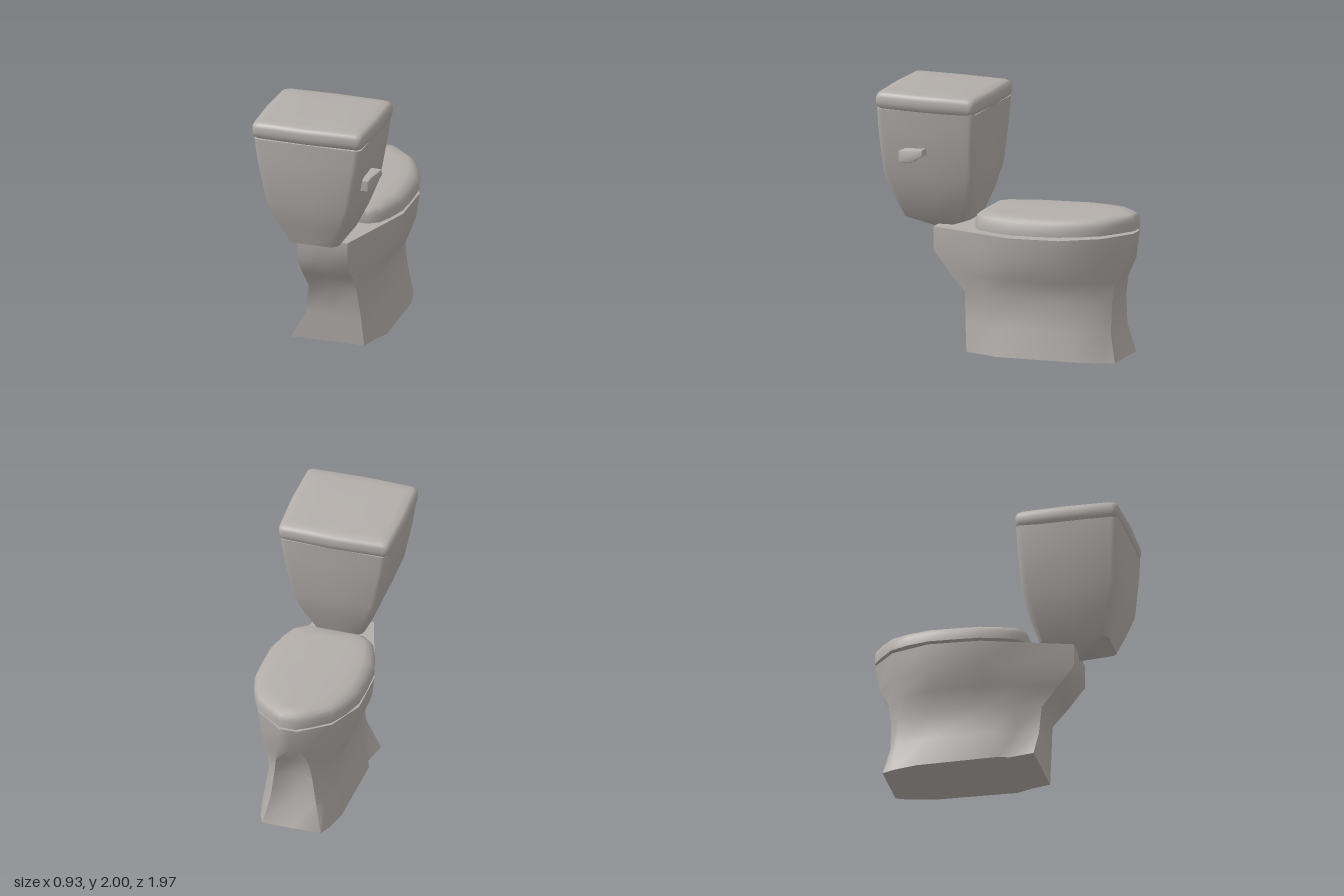
import * as THREE from 'three';
import { toCreasedNormals } from 'three/addons/utils/BufferGeometryUtils.js';

const ceramic = new THREE.MeshStandardMaterial({ color: 0xb3aeaa });
ceramic.name = 'warm grey ceramic';

// Skins a stack of rings (bottom to top, each turning from +z towards +x) and closes both ends.
function loft(rings, crease = 0.7, bottomTip = null) {
  const n = rings[0].length;
  const points = rings.flat();
  const index = [];
  for (let r = 0; r < rings.length - 1; r++) {
    for (let i = 0; i < n; i++) {
      const a = r * n + i, b = r * n + (i + 1) % n;
      index.push(a, b, b + n, a, b + n, a + n);
    }
  }
  const centre = ring => [0, 1, 2].map(k => ring.reduce((s, p) => s + p[k], 0) / n);
  const low = points.push(bottomTip || centre(rings[0])) - 1;
  const high = points.push(centre(rings[rings.length - 1])) - 1;
  const top = (rings.length - 1) * n;
  for (let i = 0; i < n; i++) {
    const j = (i + 1) % n;
    index.push(low, j, i, high, top + i, top + j);
  }
  const g = new THREE.BufferGeometry();
  g.setAttribute('position', new THREE.Float32BufferAttribute(points.flat(), 3));
  g.setIndex(index);
  return toCreasedNormals(g, crease);
}

// Mirrors a half outline of [x, z] points, running from the tank end to the tip.
function mirrorRing(half, yAt, cx = -0.013) {
  const other = half.slice(1, -1).reverse().map(([x, z]) => [-x, z]);
  return [...half, ...other].map(([x, z]) => [x + cx, yAt(z), z]);
}

// Rectangle with rounded corners and slightly bowed sides.
function boxRing(y, x0, x1, z0, z1, radius, bow = 0, tilt = 0) {
  const ring = [];
  const cx = (x0 + x1) / 2, cz = (z0 + z1) / 2;
  const hx = (x1 - x0) / 2, hz = (z1 - z0) / 2;
  const corners = [[1, 1], [1, -1], [-1, -1], [-1, 1]];
  corners.forEach(([sx, sz], c) => {
    for (let k = 0; k <= 3; k++) {
      const a = c * Math.PI / 2 + k * Math.PI / 6;
      const x = cx + sx * (hx - radius - bow) + radius * Math.sin(a);
      const z = cz + sz * (hz - radius - bow) + radius * Math.cos(a);
      ring.push([x, y + tilt * (z - cz), z]);
    }
    // middle of the side that follows this corner
    const a = (c + 1) * Math.PI / 2;
    const z = cz + hz * Math.cos(a);
    ring.push([cx + hx * Math.sin(a), y + tilt * (z - cz), z]);
  });
  return ring;
}

function part(name, geometry) {
  const mesh = new THREE.Mesh(geometry, ceramic);
  mesh.name = name;
  return mesh;
}

function createBowl() {
  const levels = [
    [0, [[0, .3], [.24, .3], [.28, .15], [.33, .03], [.315, -.61], [.27, -.8], [.23, -.89], [0, -.89]]],
    [.22, [[0, .315], [.22, .315], [.26, .14], [.3, -.03], [.29, -.55], [.23, -.78], [.18, -.84], [0, -.79]]],
    [.45, [[0, .33], [.19, .33], [.245, .14], [.265, -.08], [.265, -.5], [.21, -.77], [.15, -.84], [0, -.78]]],
    [.6, [[0, .455], [.2, .455], [.29, .17], [.33, -.08], [.33, -.5], [.24, -.77], [.13, -.865], [0, -.83]]],
    [.76, [[0, .58], [.2, .58], [.31, .17], [.39, -.1], [.39, -.5], [.27, -.79], [.09, -.945], [0, -.94]]],
    [.94, [[0, .58], [.2, .58], [.33, .17], [.415, -.1], [.415, -.5], [.29, -.8], [.07, -.98], [0, -.98]]],
  ];
  const rings = levels.map(([y, half]) =>
    mirrorRing(half, z => y > .9 ? y + .035 * Math.max(0, -z) ** 2 : y));
  // the foot flares out on one rear corner
  rings[0][13][0] = -.355;
  rings[0][12] = [-.315, 0, .1];
  return part('bowl', loft(rings, 0.85));
}

function createSeatLid() {
  const outline = [[0, .225], [.24, .225], [.32, .17], [.37, .05], [.412, -.1], [.418, -.3],
    [.412, -.5], [.36, -.67], [.29, -.81], [.17, -.91], [.06, -.985], [0, -.985]];
  // height, sideways scale, lengthwise scale
  const levels = [[.972, 1, 1], [1.035, 1, 1], [1.075, .94, .985], [1.096, .8, .95], [1.1, .6, .8]];
  const rings = levels.map(([y, sx, sz]) => mirrorRing(
    outline.map(([x, z]) => [x * sx, -.38 + (z + .38) * sz]),
    z => y + .022 * Math.max(0, -z - .2) + .01 * Math.max(0, -z) ** 2 - .006));
  return part('seatLid', loft(rings, 0.8));
}

function createTank() {
  const rings = [
    boxRing(1.0, -.205, .185, .305, .835, .06),
    boxRing(1.17, -.285, .265, .245, .89, .06),
    boxRing(1.36, -.355, .335, .2, .945, .055),
    boxRing(1.7, -.42, .392, .18, .962, .05),
    boxRing(1.865, -.44, .412, .172, .966, .05),
  ];
  return part('tank', loft(rings, 0.65, [-.01, .89, .575]));
}

function createTankLid() {
  // height, inset of the rounded edge
  const levels = [[1.862, .02], [1.878, .006], [1.91, 0], [1.95, 0], [1.975, .01], [1.988, .03], [1.992, .09]];
  const rings = levels.map(([y, d]) =>
    boxRing(y, -.467 + d, .437 - d, .16 + d, .98 - d, .045, .012, .018));
  return part('tankLid', loft(rings, 0.8));
}

function createHandle() {
  // drawn in the side plane, with shape x running towards -z
  const s = new THREE.Shape([[-.77, 1.545], [-.74, 1.56], [-.58, 1.57], [-.575, 1.535],
    [-.66, 1.485], [-.755, 1.467], [-.77, 1.475]].reverse().map(p => new THREE.Vector2(...p)));
  const g = new THREE.ExtrudeGeometry(s, {
    depth: .09, bevelEnabled: true, bevelSize: .008, bevelThickness: .012, bevelSegments: 2,
  });
  g.rotateY(Math.PI / 2);
  g.translate(.355, 0, 0);
  // the lever leans away from the tank towards its free end
  const p = g.attributes.position;
  for (let i = 0; i < p.count; i++) p.setX(i, p.getX(i) - .2 * (p.getZ(i) - .58));
  return part('flushHandle', toCreasedNormals(g, 0.7));
}

export function createModel() {
  const model = new THREE.Group();
  model.name = 'toilet';
  model.add(createBowl(), createSeatLid(), createTank(), createTankLid(), createHandle());
  return model;
}
